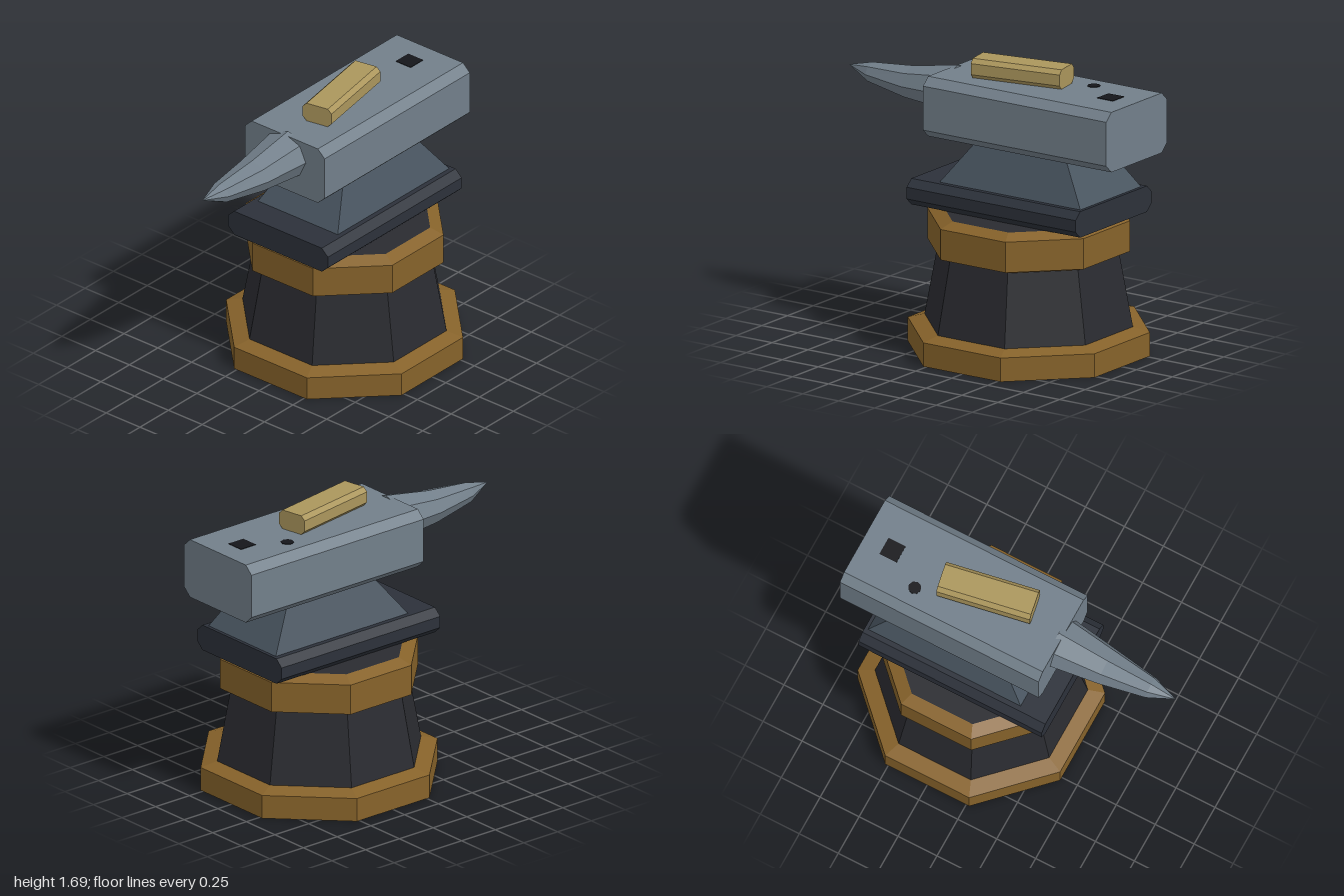
import * as THREE from 'three';

const material = (color, side = THREE.FrontSide) =>
  new THREE.MeshStandardMaterial({ color, flatShading: true, side });

const GOLD = material(0x86622a);
const DARK = material(0x2a2b30);
const IRON = material(0x2c313a);
const WAIST = material(0x48545f);
const STEEL = material(0x727f8a);
const BRASS = material(0xab965c);
const HOLE = material(0x15161a);

function part(name, geometry, mat) {
  const mesh = new THREE.Mesh(geometry, mat);
  mesh.name = name;
  return mesh;
}

// Eight-sided turned piece; the profile lists [flat-side distance, height] from bottom to top
function octagon(name, profile, mat) {
  const k = 1 / Math.cos(Math.PI / 8);
  const points = profile.map(([d, y]) => new THREE.Vector2(d * k, y));
  const geometry = new THREE.LatheGeometry(points, 8);
  geometry.rotateY(Math.PI / 8);
  const mesh = part(name, geometry, mat);
  mesh.position.x = 0.25;
  return mesh;
}

// Bar along x with the four long edges cut off
function chamferedBar(name, x0, x1, y0, y1, halfZ, cutZ, cutY, mat) {
  const inner = halfZ - cutZ;
  const shape = new THREE.Shape([
    [-inner, y0], [inner, y0], [halfZ, y0 + cutY], [halfZ, y1 - cutY],
    [inner, y1], [-inner, y1], [-halfZ, y1 - cutY], [-halfZ, y0 + cutY],
  ].map(([a, b]) => new THREE.Vector2(a, b)));
  const geometry = new THREE.ExtrudeGeometry(shape, { depth: x1 - x0, bevelEnabled: false });
  geometry.rotateY(Math.PI / 2).translate(x0, 0, 0);
  return part(name, geometry, mat);
}

// Tapered block between foot and body
function createWaist() {
  const geometry = new THREE.BoxGeometry(0.98, 0.24, 0.59);
  const pos = geometry.attributes.position;
  for (let i = 0; i < pos.count; i++) {
    if (pos.getY(i) > 0) {
      pos.setX(i, Math.sign(pos.getX(i)) * 0.315);
      pos.setZ(i, Math.sign(pos.getZ(i)) * 0.19);
    }
  }
  geometry.translate(0.33, 1.1, 0);
  return part('waist', geometry, WAIST);
}

// Eight-sided horn with a slightly drooping belly
function createHorn() {
  // distance along -x, half height, half width, centre height
  const rings = [
    [0.245, 0, 0, 1.448],
    [0.245, 0.138, 0.16, 1.448],
    [0.56, 0.098, 0.115, 1.433],
    [0.84, 0.06, 0.066, 1.445],
    [1.0, 0, 0, 1.465],
  ];
  const geometry = new THREE.LatheGeometry(rings.map(([d, r]) => new THREE.Vector2(r, d)), 8);
  geometry.rotateZ(Math.PI / 2);
  const pos = geometry.attributes.position;
  for (let i = 0; i < pos.count; i++) {
    const [, h, w, y] = rings[i % rings.length];
    pos.setY(i, pos.getY(i) + y);
    if (h > 0) pos.setZ(i, pos.getZ(i) * w / h);
  }
  return part('horn', geometry, STEEL);
}

export function createModel() {
  const model = new THREE.Group();
  model.name = 'anvilOnPedestal';

  // Pedestal
  model.add(
    octagon('baseRing', [[0, 0], [0.65, 0], [0.65, 0.14], [0.56, 0.167], [0, 0.167]], GOLD),
    octagon('pedestalColumn', [[0.56, 0.165], [0.485, 0.6]], DARK),
    octagon('collar', [[0.44, 0.59], [0.485, 0.59], [0.543, 0.61], [0.543, 0.79], [0.47, 0.825]], GOLD),
    octagon('pedestalTop', [[0.47, 0.825], [0, 0.825]], DARK),
  );

  // Anvil
  model.add(
    chamferedBar('foot', -0.335, 0.84, 0.827, 0.98, 0.37, 0.045, 0.042, IRON),
    createWaist(),
    chamferedBar('body', -0.275, 1, 1.22, 1.573, 0.295, 0.05, 0.047, STEEL),
    createHorn(),
  );

  // Dark tool holes in the face
  const squareHole = part('squareHole', new THREE.BoxGeometry(0.11, 0.004, 0.11), HOLE);
  squareHole.position.set(0.82, 1.574, 0);
  const roundHole = part('roundHole', new THREE.CylinderGeometry(0.038, 0.038, 0.004, 8), HOLE);
  roundHole.position.set(0.603, 1.574, -0.14);
  model.add(squareHole, roundHole);

  // Ingot lying askew on the face
  const ingot = chamferedBar('ingot', -0.278, 0.278, 0, 0.115, 0.094, 0.025, 0.025, BRASS);
  ingot.position.set(0.212, 1.574, 0.01);
  ingot.rotation.y = 0.18;
  model.add(ingot);

  return model;
}
